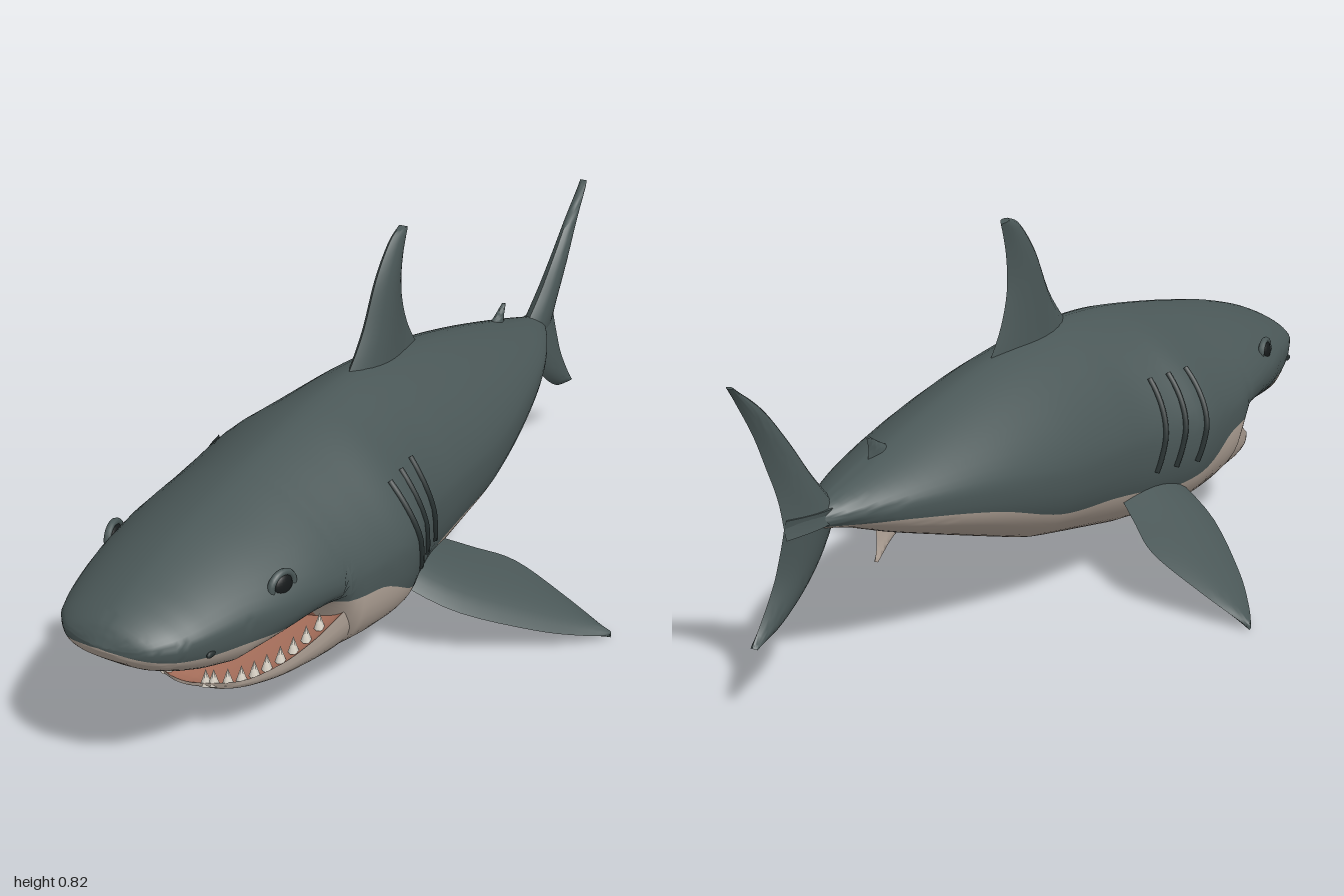
import * as THREE from 'three';
import { toCreasedNormals } from 'three/addons/utils/BufferGeometryUtils.js';

const mat = (name, color) => Object.assign(new THREE.MeshStandardMaterial({ color }), { name });

// Section keys: z, top, bottom, half width, height of widest point, height of colour line
const BODY = [
  [-0.80, 0.375, 0.345, 0.012, 0.36, 0.35], [-0.72, 0.40, 0.33, 0.06, 0.365, 0.34],
  [-0.60, 0.435, 0.285, 0.118, 0.36, 0.33], [-0.40, 0.49, 0.22, 0.178, 0.345, 0.295],
  [-0.20, 0.535, 0.155, 0.212, 0.325, 0.235], [0.00, 0.562, 0.115, 0.223, 0.315, 0.215],
  [0.10, 0.568, 0.095, 0.228, 0.31, 0.20], [0.20, 0.563, 0.087, 0.25, 0.31, 0.185],
  [0.28, 0.555, 0.086, 0.275, 0.31, 0.205], [0.40, 0.537, 0.09, 0.268, 0.31, 0.265],
  [0.47, 0.525, 0.10, 0.26, 0.315, 0.275], [0.53, 0.514, 0.255, 0.25, 0.33, 0.28],
  [0.60, 0.50, 0.255, 0.24, 0.34, 0.285], [0.70, 0.48, 0.24, 0.22, 0.345, 0.295],
  [0.78, 0.46, 0.225, 0.197, 0.35, 0.305], [0.85, 0.44, 0.245, 0.175, 0.35, 0.31],
  [0.90, 0.424, 0.265, 0.155, 0.35, 0.315], [0.95, 0.402, 0.29, 0.125, 0.35, 0.325],
  [0.985, 0.377, 0.318, 0.075, 0.348, 0.336], [1.00, 0.352, 0.342, 0.02, 0.347, 0.345],
];
const JAW = [
  [0.38, 0.22, 0.095, 0.235, 0.25, 0.25], [0.50, 0.21, 0.10, 0.232, 0.25, 0.25],
  [0.58, 0.17, 0.112, 0.208, 0.213, 0.213], [0.66, 0.14, 0.12, 0.165, 0.178, 0.178],
  [0.72, 0.135, 0.127, 0.10, 0.155, 0.155], [0.745, 0.143, 0.136, 0.03, 0.146, 0.146],
];

// Smooth lookup along z; the bottom line stays linear so the mouth corner is crisp
function sampler(keys) {
  const times = keys.map(k => k[0]);
  const values = keys.flatMap(k => k.slice(1));
  const cubic = new THREE.CubicInterpolant(times, values, 5, new Array(5));
  const linear = new THREE.LinearInterpolant(times, values, 5, new Array(5));
  return z => {
    const [top, , w, mid, side] = cubic.evaluate(z);
    return { top, bottom: linear.evaluate(z)[1], w, mid, side };
  };
}
const bodyAt = sampler(BODY), jawAt = sampler(JAW);

// Section outline: a slightly pointed back over a fuller belly
const UP = 1.25, LOW = 0.75;
function sectionPoint(k, a, z) {
  const s = Math.sin(a), c = Math.max(0, Math.cos(a)), e = s >= 0 ? UP : LOW;
  const h = s >= 0 ? k.top - k.mid : k.bottom - k.mid;
  return new THREE.Vector3(k.w * c ** e, k.mid + h * Math.abs(s) ** e, z);
}
function angleAt(k, y) {
  const d = y - k.mid;
  if (Math.abs(d) < 1e-5) return 0;
  const r = d > 0 ? d / (k.top - k.mid) : d / (k.bottom - k.mid);
  return Math.sign(d) * Math.asin(Math.min(0.97, Math.abs(r) ** (1 / (d > 0 ? UP : LOW))));
}
const skinAt = (z, y) => sectionPoint(bodyAt(z), angleAt(bodyAt(z), y), z);
const NU = 14, NL = 12, HALF = NU + NL;
function sectionRing(k, z) {
  const split = angleAt(k, k.side), half = [];
  for (let j = 0; j <= HALF; j++) {
    const a = j <= NU ? THREE.MathUtils.lerp(Math.PI / 2, split, j / NU)
      : THREE.MathUtils.lerp(split, -Math.PI / 2, (j - NU) / NL);
    half.push(sectionPoint(k, a, z));
  }
  const mirrored = half.slice(1, -1).reverse().map(p => new THREE.Vector3(-p.x, p.y, p.z));
  return [...half, ...mirrored];
}

// Closed skin over rings of points; paint(i, j) picks the material slot
function loft(rings, paint, crease = 0.9) {
  const n = rings[0].length, pts = rings.flat(), slots = [];
  const add = (slot, ...ids) => (slots[slot] ??= []).push(...ids);
  for (let i = 0; i < rings.length - 1; i++) for (let j = 0; j < n; j++) {
    const a = i * n + j, b = i * n + (j + 1) % n, c = b + n, d = a + n;
    add(paint(i, j), a, d, c, a, c, b);
  }
  [0, rings.length - 1].forEach((r, end) => {
    const centre = pts.length;
    pts.push(rings[r].reduce((s, p) => s.add(p), new THREE.Vector3()).divideScalar(n));
    for (let j = 0; j < n; j++) {
      const a = r * n + j, b = r * n + (j + 1) % n;
      add(paint(r, j), centre, end ? b : a, end ? a : b);
    }
  });
  // Turn the skin outward whichever way the rings run
  let volume = 0;
  const cross = new THREE.Vector3();
  for (const s of slots) for (let t = 0; s && t < s.length; t += 3)
    volume += pts[s[t]].dot(cross.crossVectors(pts[s[t + 1]], pts[s[t + 2]]));
  const geo = new THREE.BufferGeometry().setFromPoints(pts), index = [];
  slots.forEach((s, slot) => {
    geo.addGroup(index.length, s.length, slot);
    for (let t = 0; t < s.length; t += 3)
      index.push(s[t], ...(volume < 0 ? [s[t + 2], s[t + 1]] : [s[t + 1], s[t + 2]]));
  });
  geo.setIndex(index);
  return toCreasedNormals(geo, crease);
}

// Fin between a leading and a trailing edge, with a rounded-lens section
function fin(lead, trail, thick, place, paint = () => 0) {
  const curve = list => new THREE.SplineCurve(list.map(p => new THREE.Vector2(...p)));
  const A = curve(lead), B = curve(trail), SPAN = 18, M = 10, rings = [];
  for (let i = 0; i <= SPAN; i++) {
    const t = i / SPAN, a = A.getPoint(t), b = B.getPoint(t), ring = [];
    for (let j = 0; j < 2 * M; j++) {
      const u = j <= M ? j / M : 2 - j / M;
      const off = thick * (1 - 0.7 * t) * Math.sin(Math.PI * u ** 0.75) * (j <= M ? 1 : -1);
      const p = a.clone().lerp(b, u);
      ring.push(place(p.x, p.y, off, t));
    }
    rings.push(ring);
  }
  return loft(rings, (i, j) => paint(i / SPAN, j / M), 1.2);
}

export function createModel() {
  const model = new THREE.Group();
  model.name = 'shark';
  const slate = mat('slate skin', 0x4a5757), cream = mat('pale belly', 0xb3a599);
  const flesh = mat('mouth flesh', 0xa8705c), ivory = mat('ivory teeth', 0xd9d2c6);
  const shade = mat('dark slits', 0x283131), black = mat('eye black', 0x161a1b);
  const put = (name, geo, material, parent = model) => {
    const m = new THREE.Mesh(geo, material);
    m.name = name;
    parent.add(m);
    return m;
  };

  // Body and upper head
  const zs = Array.from({ length: 91 }, (_, i) => -0.8 + 1.8 * (1 - (1 - i / 90) ** 1.6));
  const mirrorIndex = j => (j < HALF ? j : 2 * HALF - 1 - j);
  put('body', loft(zs.map(z => sectionRing(bodyAt(z), z)), (i, j) => {
    const k = mirrorIndex(j);
    if (k < NU) return 0;
    return k > NU + 5 && zs[i] > 0.47 && zs[i] < 0.77 ? 2 : 1;
  }), [slate, cream, flesh]);

  // Lower jaw with a hollow floor
  const jz = Array.from({ length: 25 }, (_, i) => 0.38 + 0.365 * (1 - (1 - i / 24) ** 1.5));
  put('lowerJaw', loft(jz.map(z => sectionRing(jawAt(z), z)),
    (i, j) => (mirrorIndex(j) < NU ? 0 : 1)), [flesh, cream]);

  // Teeth in two arches
  const teeth = new THREE.Group();
  teeth.name = 'teeth';
  model.add(teeth);
  const cone = new THREE.ConeGeometry(0.012, 0.036, 6);
  for (let i = 0; i < 21; i++) {
    const a = Math.PI * (0.04 + 0.92 * i / 20);
    const x = 0.165 * Math.cos(a), z = 0.56 + 0.215 * Math.sin(a), k = bodyAt(z);
    const c = Math.min(1, Math.abs(x) / k.w) ** (1 / LOW);
    const y = k.mid - (k.mid - k.bottom) * Math.sqrt(1 - c * c) ** LOW;
    const upper = put('upperTooth', cone, ivory, teeth);
    upper.position.set(x, y - 0.01, z);
    upper.rotation.x = Math.PI;
  }
  for (let i = 0; i < 10; i++) for (const s of [1, -1]) {
    const z = 0.55 + 0.187 * (1 - (1 - i / 9) ** 1.6), k = jawAt(z);
    put('lowerTooth', cone, ivory, teeth).position.set(s * k.w * 0.9, k.mid + 0.008, z - 0.008);
  }

  // Fins on the centre line
  const upright = (z, y, off) => new THREE.Vector3(off, y, z);
  put('dorsalFin', fin([[0.13, 0.54], [0.05, 0.63], [-0.01, 0.74], [-0.07, 0.81], [-0.115, 0.83]],
    [[-0.2, 0.51], [-0.145, 0.59], [-0.118, 0.67], [-0.12, 0.75], [-0.138, 0.82]], 0.032, upright), slate);
  put('rearDorsalFin', fin([[-0.53, 0.44], [-0.57, 0.46], [-0.6, 0.478]],
    [[-0.61, 0.42], [-0.605, 0.45], [-0.61, 0.476]], 0.014, upright), slate);
  put('analFin', fin([[-0.48, 0.27], [-0.54, 0.245], [-0.585, 0.21]],
    [[-0.59, 0.30], [-0.585, 0.25], [-0.592, 0.212]], 0.014, upright), cream);

  // Tail lobes, bent slightly to one side
  const bent = (z, y, off, t) => new THREE.Vector3(off + 0.02 * Math.sin(Math.PI * t * 0.8), y, z);
  put('upperTailLobe', fin([[-0.70, 0.36], [-0.765, 0.44], [-0.825, 0.525], [-0.9, 0.61], [-0.99, 0.675]],
    [[-0.863, 0.34], [-0.87, 0.42], [-0.895, 0.495], [-0.93, 0.57], [-0.998, 0.672]], 0.03, bent), slate);
  put('lowerTailLobe', fin([[-0.70, 0.38], [-0.745, 0.28], [-0.795, 0.215], [-0.87, 0.165], [-0.95, 0.147]],
    [[-0.863, 0.38], [-0.867, 0.32], [-0.88, 0.26], [-0.91, 0.21], [-0.96, 0.152]], 0.028, bent), slate);

  for (const s of [1, -1]) {
    const side = s > 0 ? 'left' : 'right';
    // Pectoral fin, pale underneath with a dark rim and tip
    const sloped = (x, z, off) => new THREE.Vector3(s * x, 0.168 - 0.485 * (x - 0.25) + off, z);
    put(side + 'PectoralFin', fin(
      [[0.18, 0.26], [0.32, 0.215], [0.455, 0.1], [0.53, 0.01], [0.568, -0.05]],
      [[0.17, 0.06], [0.25, 0.0], [0.33, -0.055], [0.45, -0.063], [0.562, -0.058]], 0.025, sloped,
      (t, u) => (u > 1.05 && u < 1.85 && t < 0.78 ? 1 : 0)), [slate, cream]);

    // Eye in its lid
    const eye = new THREE.Group();
    eye.name = side + 'Eye';
    const p = skinAt(0.68, 0.385);
    eye.position.set(s * (p.x - 0.004), p.y, p.z);
    eye.rotation.y = s * (Math.PI / 2 - 0.2);
    model.add(eye);
    put('eyeball', new THREE.SphereGeometry(0.026, 20, 14), black, eye).scale.z = 0.5;
    put('eyelid', new THREE.TorusGeometry(0.03, 0.008, 8, 24), slate, eye).scale.y = 0.9;

    // Nostril
    const q = skinAt(0.87, 0.318);
    const nostril = put(side + 'Nostril', new THREE.SphereGeometry(0.012, 12, 8), shade);
    nostril.position.set(s * q.x, q.y, q.z);
    nostril.scale.set(0.4, 0.6, 1.2);

    // Gill slits following the flank
    for (const z0 of [0.285, 0.225, 0.165]) {
      const path = Array.from({ length: 9 }, (_, i) => {
        const t = i / 8, g = skinAt(z0 - 0.035 * t * t, 0.44 - 0.2 * t);
        return new THREE.Vector3(s * g.x, g.y, g.z);
      });
      put(side + 'GillSlit', new THREE.TubeGeometry(new THREE.CatmullRomCurve3(path), 24, 0.007, 6), shade);
    }
  }
  return model;
}
